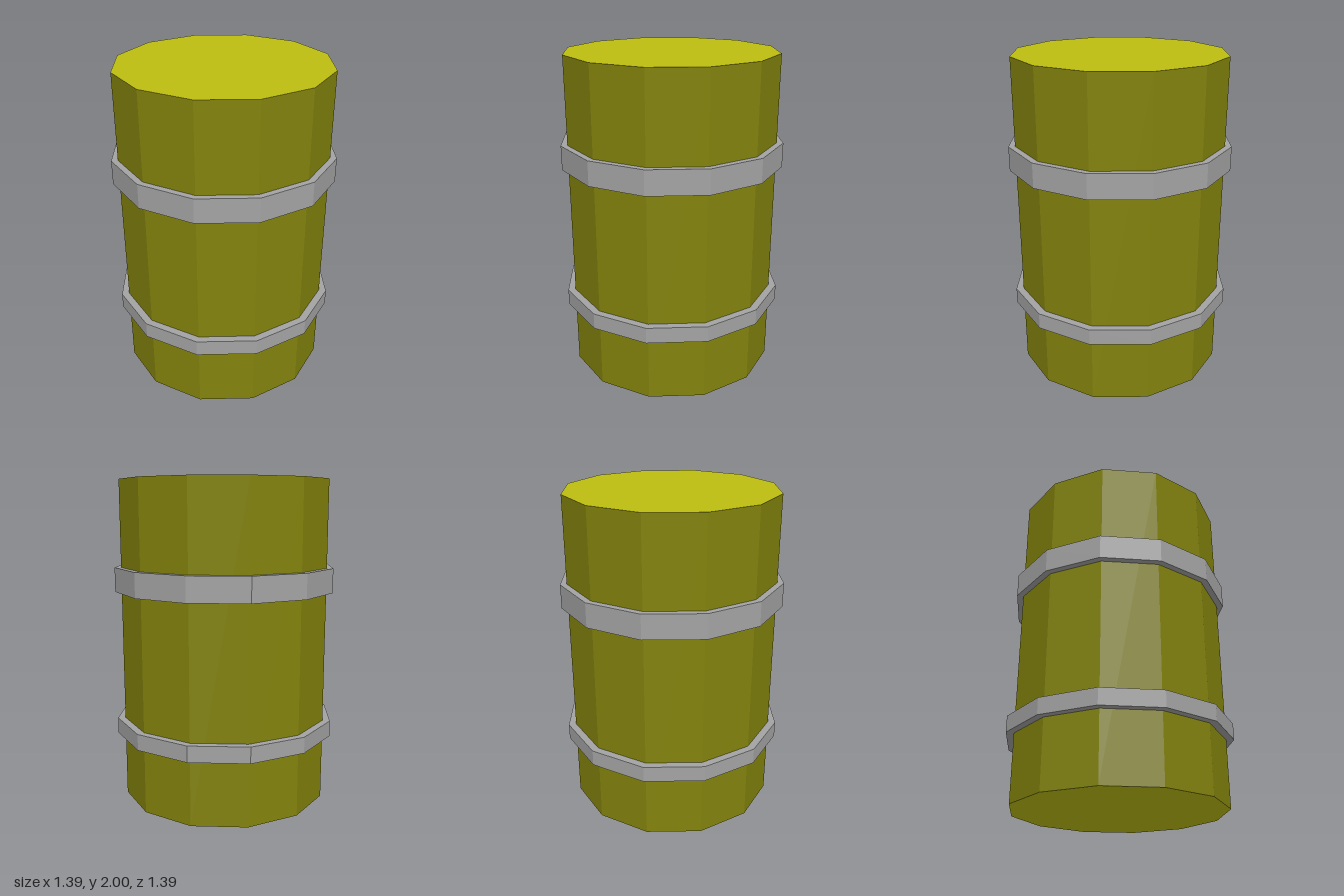
import * as THREE from 'three';

const SIDES = 12;
const RADIUS = 0.65;
const HEIGHT = 2;

function material(name, color) {
  const m = new THREE.MeshStandardMaterial({ color, flatShading: true });
  m.name = name;
  return m;
}

// Faceted hoop with a rectangular section, wrapped round the drum
function hoop(name, bottom, top, outer, mat) {
  const inner = RADIUS - 0.01;
  const profile = [[inner, bottom], [outer, bottom], [outer, top], [inner, top]]
    .map(([r, y]) => new THREE.Vector2(r, y));
  const mesh = new THREE.Mesh(new THREE.LatheGeometry(profile, SIDES), mat);
  mesh.name = name;
  return mesh;
}

export function createModel() {
  const olive = material('olive wall', 0x82820d);
  const yellow = material('yellow lid', 0xbcbe10);
  const steel = material('grey steel', 0xa3a3a3);

  const model = new THREE.Group();
  model.name = 'barrel';

  // Drum: wall, top lid and base
  const drum = new THREE.Mesh(
    new THREE.CylinderGeometry(RADIUS, RADIUS, HEIGHT, SIDES),
    [olive, yellow, yellow]
  );
  drum.name = 'drum';
  drum.position.y = HEIGHT / 2;
  model.add(drum);

  // Two hoops, the upper one taller
  model.add(hoop('upperHoop', 1.32, 1.47, 0.69, steel));
  model.add(hoop('lowerHoop', 0.41, 0.51, 0.697, steel));

  return model;
}
